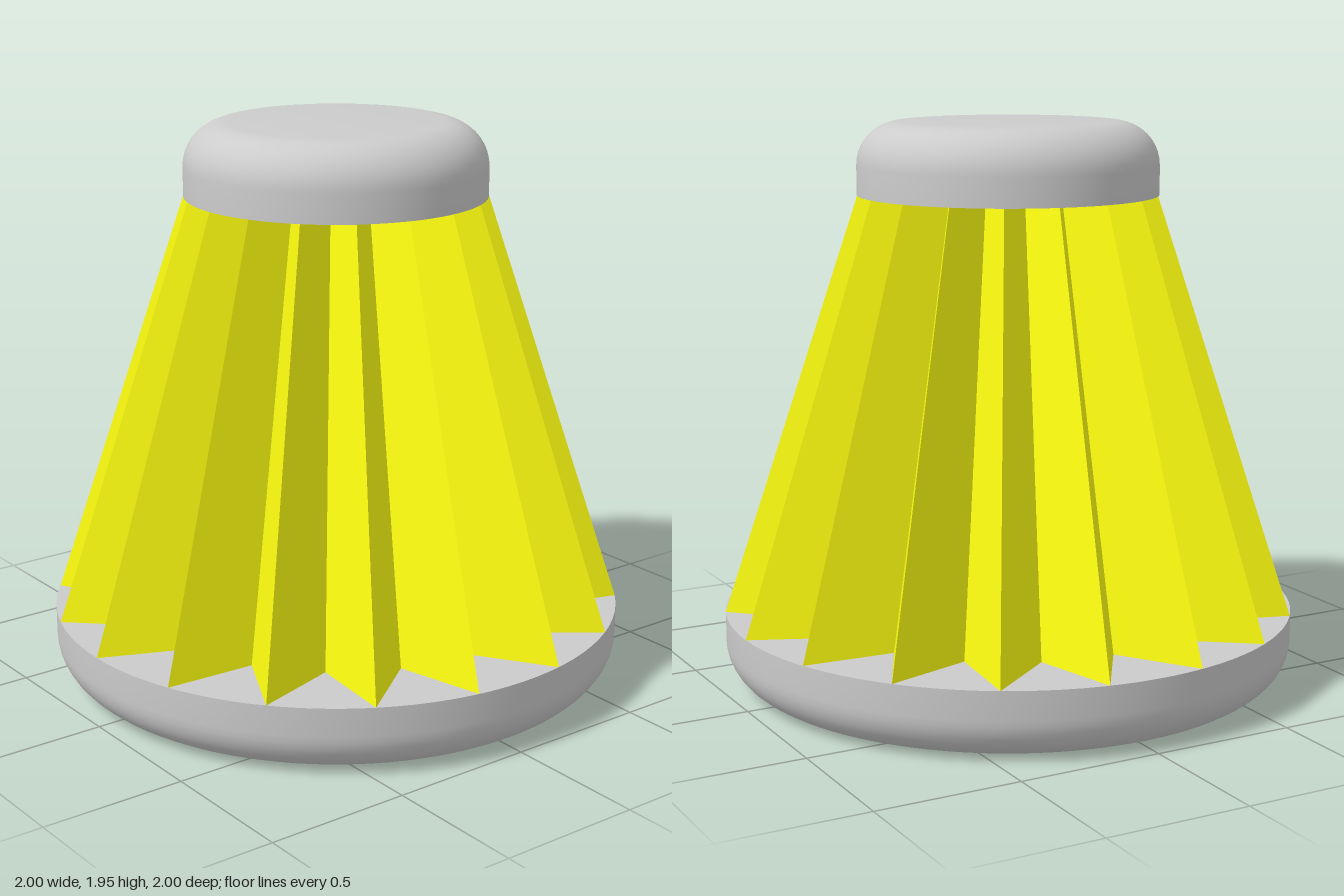
import * as THREE from 'three';
import { toCreasedNormals } from 'three/addons/utils/BufferGeometryUtils.js';

const grey = new THREE.MeshStandardMaterial({ color: 0xcccccc });
const yellow = new THREE.MeshStandardMaterial({ color: 0xffff10, flatShading: true });

// Quarter-circle of profile points around (cx, cy)
function fillet(cx, cy, r, from, steps = 10) {
  return Array.from({ length: steps + 1 }, (_, i) => {
    const a = from + (i / steps) * Math.PI / 2;
    return new THREE.Vector2(cx + r * Math.cos(a), cy + r * Math.sin(a));
  });
}

function turned(name, points) {
  const mesh = new THREE.Mesh(toCreasedNormals(new THREE.LatheGeometry(points, 96), 0.5), grey);
  mesh.name = name;
  return mesh;
}

export function createModel() {
  const group = new THREE.Group();
  const v = (x, y) => new THREE.Vector2(x, y);
  const bore = 0.215, baseTop = 0.25, capBottom = 1.7, capTop = 1.95;
  const baseR = 1, capR = 0.52, round = 0.15;

  // Base disc: rounded lower edge and a central hole
  group.add(turned('base', [
    v(bore, 0),
    ...fillet(baseR - round, round, round, -Math.PI / 2),
    v(baseR, baseTop), v(bore, baseTop), v(bore, 0),
  ]));

  // Cap: rounded upper edge
  group.add(turned('cap', [
    v(0, capBottom), v(capR, capBottom),
    ...fillet(capR - round, capTop - round, round, 0),
    v(0, capTop),
  ]));

  // Pleated cone: every second edge of a tapered cylinder is pulled inwards
  const pleats = 18, valley = 0.72;
  const cone = new THREE.CylinderGeometry(capR, baseR, capBottom - baseTop, pleats * 2, 1);
  const pos = cone.attributes.position;
  for (let i = 0; i < pos.count; i++) {
    const x = pos.getX(i), z = pos.getZ(i);
    const step = Math.round(Math.atan2(x, z) / (Math.PI / pleats));
    if (step % 2 !== 0) {
      pos.setX(i, x * valley);
      pos.setZ(i, z * valley);
    }
  }
  const flat = cone.toNonIndexed();
  flat.computeVertexNormals();
  const pleatedCone = new THREE.Mesh(flat, yellow);
  pleatedCone.name = 'pleatedCone';
  pleatedCone.position.y = (baseTop + capBottom) / 2;
  group.add(pleatedCone);

  return group;
}
